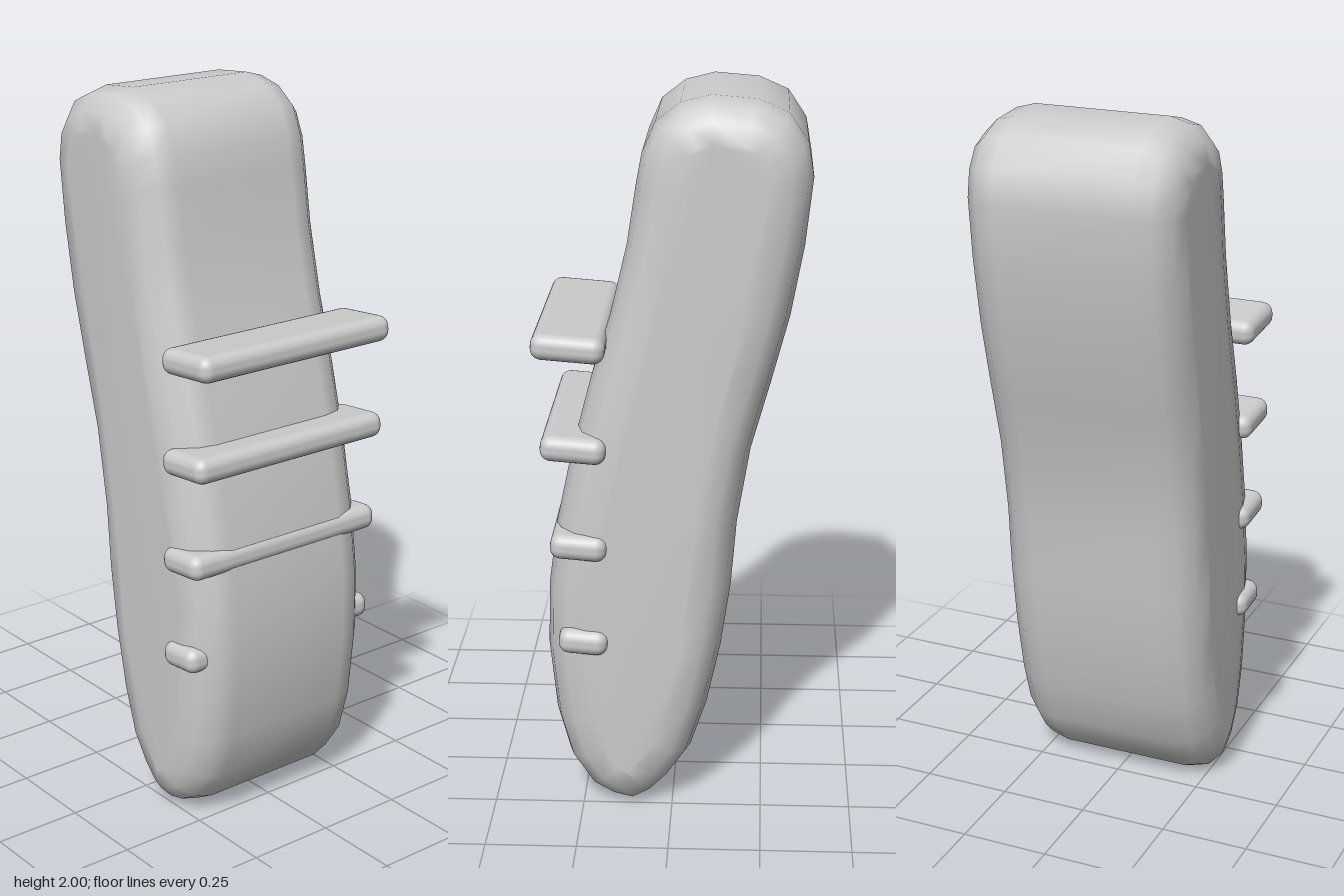
import * as THREE from 'three';
import { mergeVertices } from 'three/addons/utils/BufferGeometryUtils.js';
import { RoundedBoxGeometry } from 'three/addons/geometries/RoundedBoxGeometry.js';

// Side profile of the body as [z, y], from the bottom up the front and down the back
const PROFILE = [
  [0.11, 0], [0.17, 0.015], [0.23, 0.05], [0.29, 0.14], [0.325, 0.27], [0.345, 0.47],
  [0.34, 0.655], [0.315, 0.84], [0.27, 1.05], [0.22, 1.24], [0.165, 1.42], [0.12, 1.61],
  [0.095, 1.77], [0.08, 1.85], [0.045, 1.93], [-0.02, 1.98], [-0.1, 2], [-0.22, 1.99],
  [-0.3, 1.955], [-0.35, 1.88], [-0.365, 1.79], [-0.345, 1.61], [-0.31, 1.42],
  [-0.26, 1.23], [-0.21, 1.05], [-0.175, 0.84], [-0.16, 0.655], [-0.133, 0.47],
  [-0.095, 0.295], [-0.05, 0.16], [0.005, 0.08], [0.055, 0.03],
];

// Extruded profile with rounded rims and shared, smooth normals
function bodyGeometry() {
  const width = 0.6, round = 0.11;
  const shape = new THREE.Shape(PROFILE.map(([z, y]) => new THREE.Vector2(-z, y)));
  let geo = new THREE.ExtrudeGeometry(shape, {
    depth: width - 2 * round, bevelEnabled: true, bevelThickness: round,
    bevelSize: round, bevelOffset: -round, bevelSegments: 3,
  });
  geo.translate(0, 0, round - width / 2);
  geo.rotateY(Math.PI / 2);
  geo.deleteAttribute('normal');
  geo.deleteAttribute('uv');
  geo.clearGroups();
  geo = mergeVertices(geo, 1e-4);
  geo.computeVertexNormals();
  return geo;
}

export function createModel() {
  const group = new THREE.Group();
  const grey = new THREE.MeshStandardMaterial({ color: 0xcccccc });
  grey.name = 'light grey';

  const body = new THREE.Mesh(bodyGeometry(), grey);
  body.name = 'body';
  group.add(body);

  // Cross slats, reaching further out towards the top: [y, front z]
  const back = 0.173, tilt = 0.08;
  [[0.518, 0.308], [0.795, 0.327], [1.073, 0.349], [1.352, 0.369]].forEach(([y, front], i) => {
    const slat = new THREE.Mesh(new RoundedBoxGeometry(0.645, 0.071, front - back, 3, 0.03), grey);
    slat.name = `slat${i + 1}`;
    slat.position.set(0, y, (front + back) / 2);
    slat.rotation.x = -tilt;
    group.add(slat);
  });

  return group;
}
